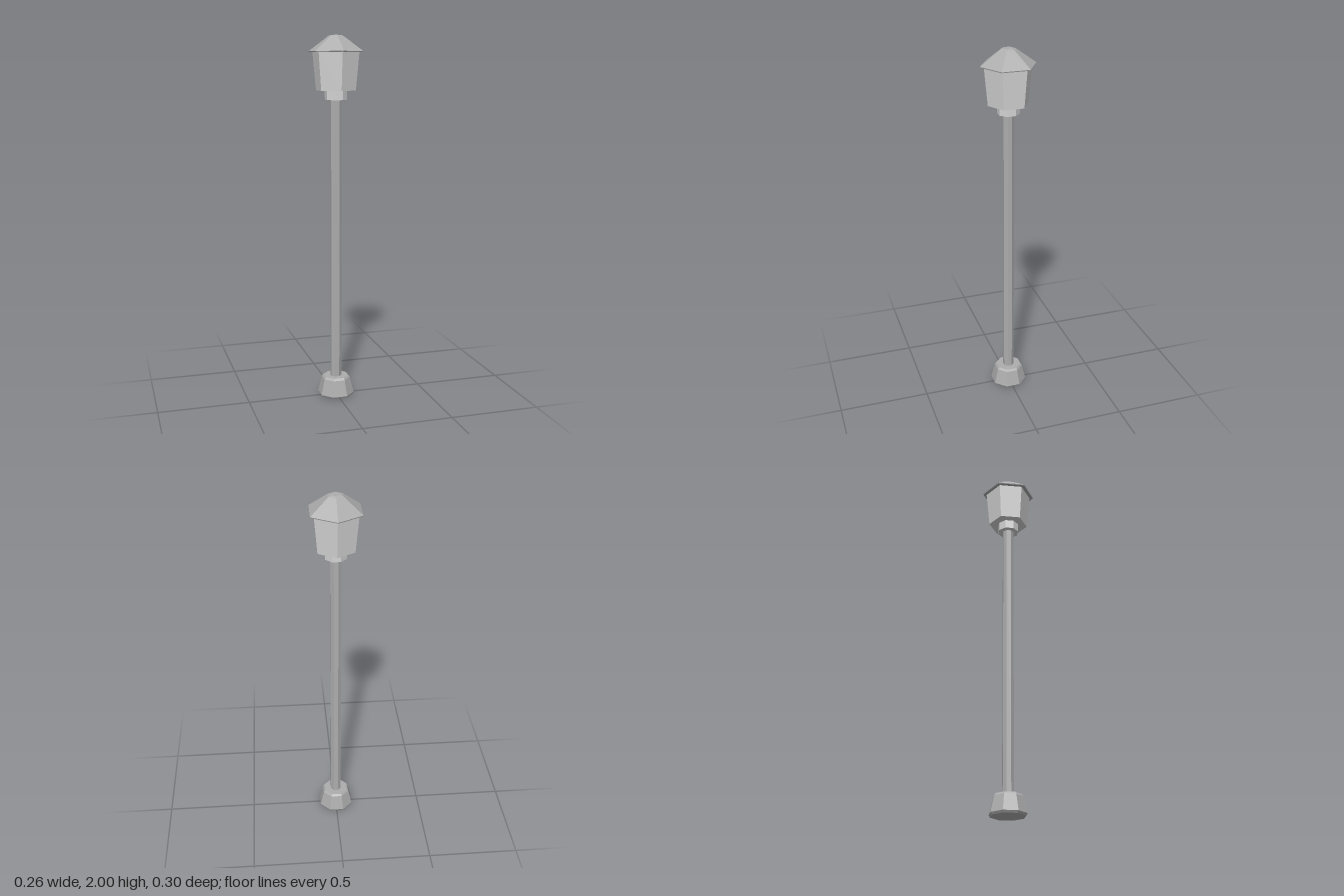
import * as THREE from 'three';

export function createModel() {
  const group = new THREE.Group();
  group.name = 'streetLamp';

  const metal = new THREE.MeshStandardMaterial({ color: 0xadadad, flatShading: true });
  metal.name = 'grey metal';
  const glass = new THREE.MeshStandardMaterial({ color: 0xd4d4d4, flatShading: true });
  glass.name = 'pale glass';

  // Faceted solid from [radius, height] points, bottom to top, closed at both ends
  function turned(name, sides, phase, profile, material) {
    const first = profile[0], last = profile[profile.length - 1];
    const points = [[0, first[1]], ...profile, [0, last[1]]].map(([r, y]) => new THREE.Vector2(r, y));
    const geometry = new THREE.LatheGeometry(points, sides, phase).toNonIndexed();
    geometry.computeVertexNormals();
    const mesh = new THREE.Mesh(geometry, material);
    mesh.name = name;
    group.add(mesh);
  }

  // Octagonal parts have flats facing front, so radii are given to the flats
  function octagonal(name, profile, material) {
    const scale = 1 / Math.cos(Math.PI / 8);
    turned(name, 8, Math.PI / 8, profile.map(([r, y]) => [r * scale, y]), material);
  }

  // Foot with chamfered rims
  octagonal('base', [[0.087, 0], [0.094, 0.012], [0.074, 0.1], [0.066, 0.111]], metal);
  // Post
  octagonal('pole', [[0.029, 0.1], [0.029, 1.67]], metal);
  // Collar below the lantern
  octagonal('collar', [[0.055, 1.66], [0.055, 1.71]], glass);
  // Six-sided lantern, wider at the top
  turned('lantern', 6, 0, [[0.11, 1.71], [0.129, 1.914]], glass);
  // Hipped roof with a small bevelled crown
  turned('roof', 6, 0, [[0.148, 1.911], [0.15, 1.916], [0.043, 1.994], [0.029, 2]], metal);

  return group;
}
